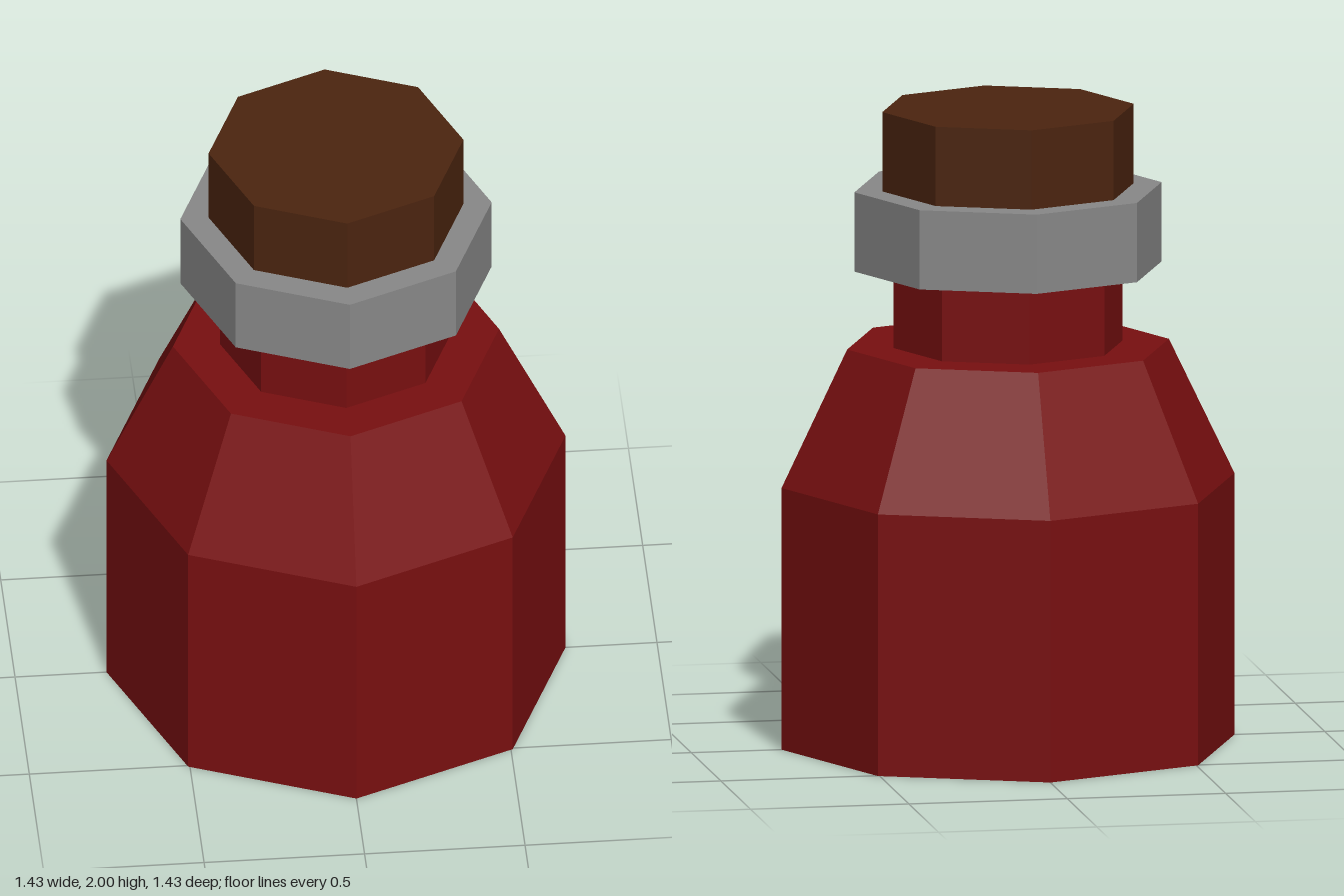
import * as THREE from 'three';

const SIDES = 8;

// Solid of revolution with eight flat faces; profile is [radius, y] from bottom to top
function facetedPart(name, profile, material) {
  const points = profile.map(([r, y]) => new THREE.Vector2(r, y));
  const geometry = new THREE.LatheGeometry(points, SIDES).toNonIndexed();
  geometry.computeVertexNormals();
  const mesh = new THREE.Mesh(geometry, material);
  mesh.name = name;
  return mesh;
}

// Closed octagonal prism
const prism = (r, y0, y1) => [[0, y0], [r, y0], [r, y1], [0, y1]];

export function createModel() {
  const red = new THREE.MeshStandardMaterial({ color: 0x780f10 });
  red.name = 'darkRed';
  const grey = new THREE.MeshStandardMaterial({ color: 0x888888 });
  grey.name = 'metalGrey';
  const brown = new THREE.MeshStandardMaterial({ color: 0x4b240f });
  brown.name = 'corkBrown';

  const group = new THREE.Group();
  group.name = 'bottle';

  // Straight body, sloping shoulder with a flat ledge, narrow neck
  group.add(facetedPart('bottleBody', [
    [0, 0], [0.715, 0], [0.715, 0.825], [0.508, 1.255],
    [0.362, 1.255], [0.362, 1.5],
  ], red));

  // Collar around the mouth
  group.add(facetedPart('collar', prism(0.485, 1.5, 1.75), grey));

  // Stopper
  group.add(facetedPart('cork', prism(0.397, 1.75, 2), brown));

  return group;
}
